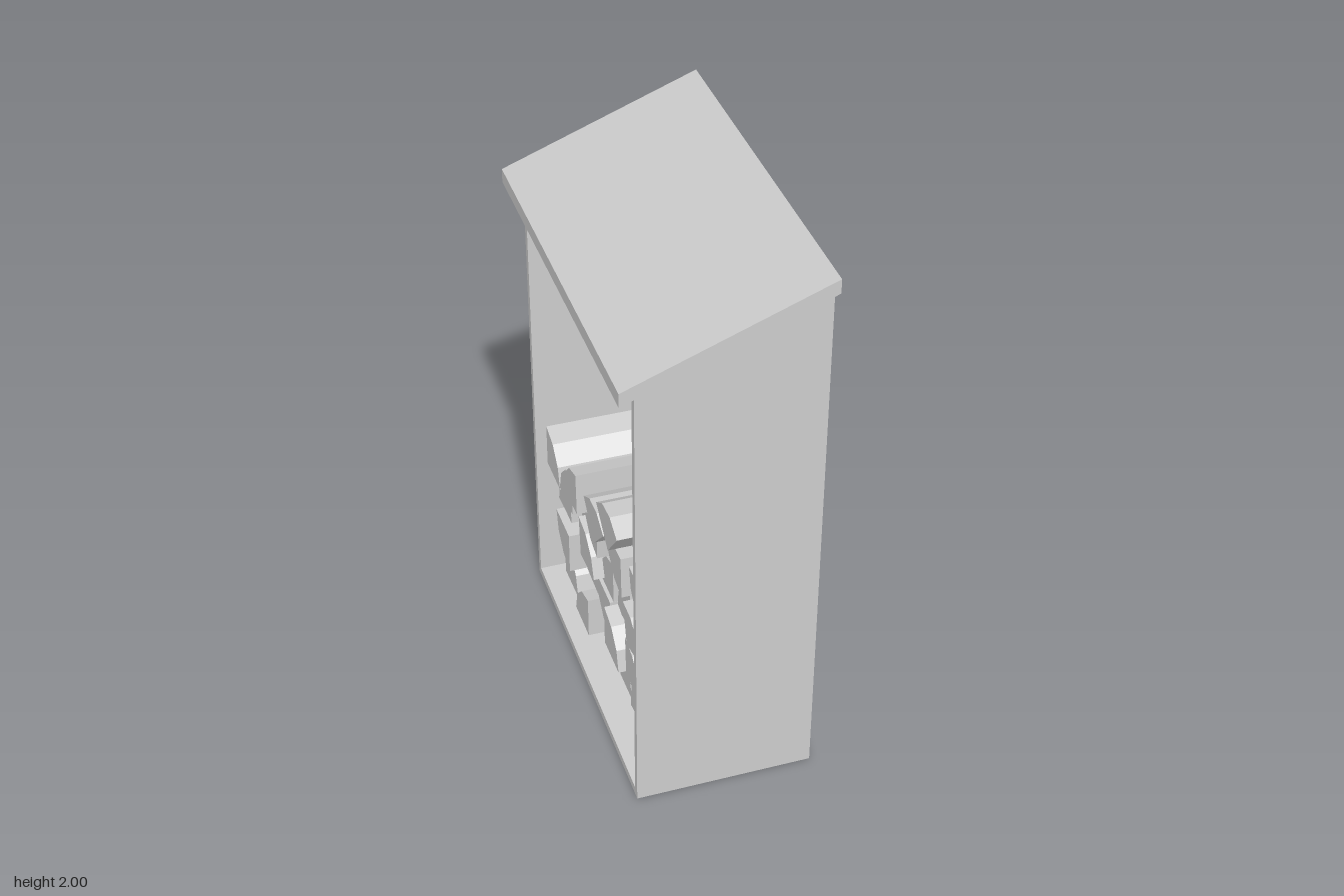
import * as THREE from 'three';

const material = new THREE.MeshStandardMaterial({ color: 0xcccccc, flatShading: true, side: THREE.DoubleSide });

function add(parent, name, geometry) {
  const mesh = new THREE.Mesh(geometry, material);
  mesh.name = name;
  parent.add(mesh);
  return mesh;
}

// Thin flat panel through four corners
function panel(parent, name, a, b, c, d) {
  const g = new THREE.BufferGeometry();
  g.setAttribute('position', new THREE.Float32BufferAttribute([...a, ...b, ...c, ...a, ...c, ...d], 3));
  g.computeVertexNormals();
  return add(parent, name, g);
}

// Split log lying along x: a pie slice with its corner at (z, y)
function log(parent, name, [z, y, startDeg, front, back, spanDeg = 90], radius = 0.165) {
  const segments = Math.round(spanDeg / 30);
  const shape = new THREE.Shape();
  if (spanDeg < 180) shape.moveTo(0, 0);
  for (let i = 0; i <= segments; i++) {
    const a = THREE.MathUtils.degToRad(startDeg + (spanDeg * i) / segments);
    const px = radius * Math.cos(a), py = radius * Math.sin(a);
    if (i === 0 && spanDeg >= 180) shape.moveTo(px, py);
    else shape.lineTo(px, py);
  }
  const g = new THREE.ExtrudeGeometry(shape, { depth: back - front, bevelEnabled: false });
  g.rotateY(-Math.PI / 2);
  add(parent, name, g).position.set(back, y, z);
}

export function createModel() {
  const model = new THREE.Group();
  model.name = 'firewoodShelter';

  const xF = -0.28, xB = 0.34, xWall = 0.215; // open side, rear edge, rear wall
  const zO = 0.62, zI = 0.595, yLow = 1.713, yHigh = 1.95, yFloor = 0.03, yCeil = 1.69;

  // Outer and inner side walls
  for (const [side, s] of [['left', 1], ['right', -1]]) {
    panel(model, side + 'OuterWall', [xF, 0, s * zO], [xB, 0, s * zO], [xB, yHigh, s * zO], [xF, yLow, s * zO]);
    panel(model, side + 'InnerWall', [xF, yFloor, s * zI], [xWall, yFloor, s * zI], [xWall, yCeil, s * zI], [xF, yCeil, s * zI]);
  }

  // Floor, ceiling and rear wall of the cavity
  for (const [name, y] of [['floor', yFloor], ['ceiling', yCeil]]) {
    panel(model, name, [xF, y, zI], [xWall, y, zI], [xWall, y, -zI], [xF, y, -zI]);
  }
  panel(model, 'rearWall', [xWall, yFloor, zI], [xWall, yFloor, -zI], [xWall, yCeil, -zI], [xWall, yCeil, zI]);

  // Narrow rim around the opening
  const rect = (T, z, y0, y1) => new T([[-z, y0], [z, y0], [z, y1], [-z, y1]].map((p) => new THREE.Vector2(...p)));
  const rim = rect(THREE.Shape, zO, 0, yLow);
  rim.holes.push(rect(THREE.Path, zI, yFloor, yCeil));
  add(model, 'openingRim', new THREE.ShapeGeometry(rim).rotateY(-Math.PI / 2)).position.x = xF;

  // Sloping roof, open underneath and along its high edge
  const roof = new THREE.Group();
  roof.name = 'roof';
  model.add(roof);
  const rx = 0.34, rz = 0.665, t = 0.05, lo = 1.74, hi = 2;
  panel(roof, 'roofTop', [-rx, lo, rz], [rx, hi, rz], [rx, hi, -rz], [-rx, lo, -rz]);
  panel(roof, 'roofLowEdge', [-rx, lo - t, -rz], [-rx, lo - t, rz], [-rx, lo, rz], [-rx, lo, -rz]);
  for (const s of [1, -1]) {
    panel(roof, 'roofSideEdge', [-rx, lo - t, s * rz], [rx, hi - t, s * rz], [rx, hi, s * rz], [-rx, lo, s * rz]);
  }

  // Logs as [z, y, start angle, front x, back x, span]
  const pile = new THREE.Group();
  pile.name = 'logPile';
  model.add(pile);

  // Logs whose ends pass through the rear wall
  const long = [
    [0.395, 0.645, -90, -0.165, 0.25, 180],
    [0.385, 0.67, 177, -0.18, 0.27],
    [0.01, 0.63, 46, -0.24, 0.31],
    [-0.26, 0.54, 90, -0.24, 0.29],
    [0.25, 0.36, 14, -0.2, 0.25],
    [0.21, 0.365, 96, -0.17, 0.28],
    [0.03, 0.36, 90, -0.18, 0.29],
    [-0.43, 0.34, -5, -0.16, 0.29],
    [0.02, 0.35, 180, -0.19, 0.26],
    [-0.17, 0.2, 86, -0.17, 0.28],
    [0.41, 0.05, 0, -0.16, 0.27],
    [0.24, 0.21, -95, -0.18, 0.26],
    [0.04, 0.05, 0, -0.17, 0.28],
    [-0.14, 0.05, -3, -0.15, 0.3],
  ];
  long.forEach((l) => log(pile, 'longLog', l));

  // Logs that stop short of the rear wall
  const short = [
    [-0.16, 0.05, 90, -0.22, 0.2], [-0.53, 0.05, 2, -0.2, 0.2],
    [0.57, 0.37, 180, -0.17, 0.2], [0.24, 0.21, 3, -0.2, 0.2],
    [0.05, 0.2, 0, -0.22, 0.2], [-0.36, 0.36, 180, -0.23, 0.2],
    [0.42, 0.38, 0, -0.17, 0.2], [-0.24, 0.37, 5, -0.22, 0.2],
    [-0.43, 0.36, 92, -0.2, 0.2], [0.19, 0.69, 182, -0.2, 0.2],
    [-0.02, 0.69, 178, -0.22, 0.2], [-0.59, 0.53, 0, -0.24, 0.2],
    [0.28, 0.82, 50, -0.27, 0.21], [-0.13, 0.65, 92, -0.26, 0.21],
  ];
  short.forEach((l) => log(pile, 'shortLog', l));

  return model;
}
